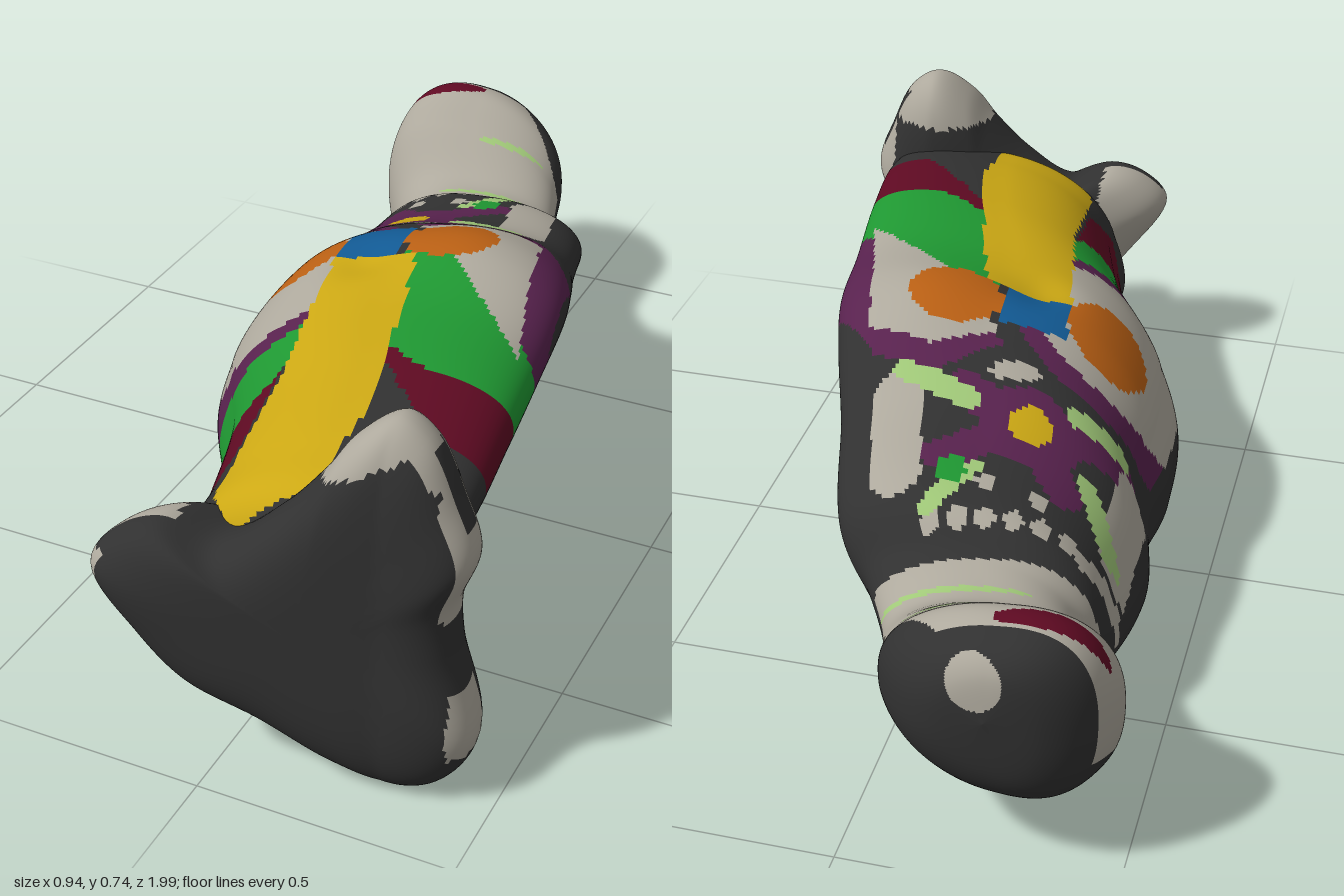
import * as THREE from 'three';

const mat = (name, hex) => Object.assign(new THREE.MeshStandardMaterial({ color: hex }), { name });
const MATS = [
  mat('charcoal', 0x313131), mat('stoneGrey', 0xaea99d), mat('yellow', 0xcca814),
  mat('orange', 0xba6014), mat('blue', 0x125a94), mat('green', 0x1f9832),
  mat('crimson', 0x5e0a22), mat('purple', 0x58224e), mat('paleGreen', 0xa0c878),
];
const [DARK, GREY, YELLOW, ORANGE, BLUE, GREEN, CRIMSON, PURPLE, PALE] = MATS.keys();

// Paint shapes on the x-z plane: turned ellipse, round-ended strip, polygon
const ell = (cx, cz, rx, rz, turn = 0) => (x, z) => {
  const c = Math.cos(turn), s = Math.sin(turn), dx = x - cx, dz = z - cz;
  return ((dx * c + dz * s) / rx) ** 2 + ((dz * c - dx * s) / rz) ** 2 < 1;
};
const strip = (x0, z0, x1, z1, r) => (x, z) => {
  const dx = x1 - x0, dz = z1 - z0;
  const t = THREE.MathUtils.clamp(((x - x0) * dx + (z - z0) * dz) / (dx * dx + dz * dz), 0, 1);
  return Math.hypot(x - x0 - t * dx, z - z0 - t * dz) < r;
};
const poly = (...p) => (x, z) => {
  let inside = false;
  for (let i = 0, j = p.length - 1; i < p.length; j = i++) {
    const [xi, zi] = p[i], [xj, zj] = p[j];
    if ((zi > z) !== (zj > z) && x < (xj - xi) * (z - zi) / (zj - zi) + xi) inside = !inside;
  }
  return inside;
};

// Belly and legs; the first matching shape wins
const BELLY = [
  [BLUE, poly([-.19, -.05], [-.06, -.07], [-.04, .05], [-.18, .07])],
  [ORANGE, ell(-.26, .04, .08, .1)],
  [ORANGE, ell(.04, -.02, .095, .085)],
  [YELLOW, poly([-.18, .05], [0, .06], [.14, .56], [.14, .78], [0, .84], [-.07, .77], [-.1, .45])],
  [GREY, ell(-.25, .1, .17, .2)],
  [PURPLE, ell(-.25, .1, .2, .25)],
  [GREY, poly([-.07, -.1], [.06, -.16], [.19, -.13], [.25, .1], [.31, .29], [.08, .06])],
  [GREEN, poly([-.03, .05], [.08, .06], [.38, .31], [.38, .44], [.18, .43], [.06, .36])],
  [PURPLE, poly([-.08, -.12], [.03, -.21], [.16, -.19], [.28, -.06], [.35, .31], [.05, .05])],
  [GREEN, poly([-.36, .3], [-.11, .27], [-.11, .45], [-.2, .53])],
  [CRIMSON, poly([.06, .38], [.42, .38], [.42, .62], [.28, .62])],
  [CRIMSON, poly([-.3, .48], [-.11, .43], [-.09, .65], [-.13, .74])],
];

// Chest: flower, leaves, side stripes and a row of collar beads
const CHEST = [
  [YELLOW, ell(-.175, -.27, .04, .045)],
  [GREEN, ell(-.06, -.43, .028, .035)],
  [PALE, strip(-.1, -.41, -.04, -.52, .018)],
  [PALE, strip(-.36, -.41, -.3, -.33, .022)],
  [PALE, strip(-.05, -.255, .09, -.215, .024)],
  [PALE, strip(-.33, -.18, -.25, -.2, .022)],
  [PURPLE, ell(-.175, -.28, .1, .09)],
  [GREY, strip(-.37, -.42, -.37, -.22, .028)],
  [GREY, strip(.04, -.46, .09, -.27, .048)],
  [GREY, ell(-.12, -.17, .05, .02, -.3)],
  [GREY, strip(-.39, -.47, -.33, -.5, .016)],
];
for (const [x, z] of [[-.26, -.38], [-.03, -.4], [-.03, -.235], [-.34, -.21]])
  CHEST.push([PURPLE, strip(-.175, -.28, x, z, .038)]);
for (let i = 0; i < 6; i++) CHEST.push([GREY, ell(-.3 + i * .05, -.49 - i * .01, .018, .022)]);
for (const x of [-.23, -.13]) CHEST.push([GREY, ell(x, -.44, .018, .02)]);

// Neck and face
const HEAD = [
  [CRIMSON, ell(-.36, -.885, .1, .025, -.15)],
  [PALE, ell(-.15, -.79, .08, .007, -.15)],
  [PALE, ell(-.12, -.66, .15, .008, -.15)],
  [GREY, (x, z) => z < -.62 - .22 * x && z > Math.max(-.92, -.77 + .88 * x)],
];
const PAINT = [...BELLY, ...CHEST, ...HEAD];

// Surface through rings of points along z, sorted into colour groups
function loft(name, rows, cols, point, paint) {
  const pos = [], buckets = MATS.map(() => []);
  for (let i = 0; i <= rows; i++)
    for (let j = 0; j < cols; j++) pos.push(...point(i / rows, j / cols));
  for (let i = 0; i < rows; i++)
    for (let j = 0; j < cols; j++) {
      const k = (j + 1) % cols, a = i * cols + j, b = i * cols + k, c = a + cols, d = b + cols;
      const mid = [0, 1, 2].map(n => (pos[a * 3 + n] + pos[d * 3 + n]) / 2);
      buckets[paint(...mid, (j + .5) / cols, (i + .5) / rows)].push(a, b, c, b, d, c);
    }
  const geo = new THREE.BufferGeometry();
  geo.setAttribute('position', new THREE.Float32BufferAttribute(pos, 3));
  geo.setIndex(buckets.flat());
  let start = 0;
  buckets.forEach((ids, m) => {
    if (ids.length) geo.addGroup(start, ids.length, m);
    start += ids.length;
  });
  geo.computeVertexNormals();
  const mesh = new THREE.Mesh(geo, MATS);
  mesh.name = name;
  return mesh;
}

// Body extents: z, x min, x max, y min, y max
const BODY = [
  [-1, -.27, -.27, .36, .36], [-.985, -.37, -.17, .23, .455], [-.94, -.435, -.1, .16, .5],
  [-.87, -.47, -.05, .125, .51], [-.79, -.47, -.03, .105, .455], [-.69, -.41, 0, .1, .375],
  [-.59, -.36, .06, .098, .385], [-.5, -.39, .14, .08, .45], [-.28, -.415, .205, .063, .51],
  [-.12, -.39, .26, .065, .585], [.02, -.405, .3, .077, .615], [.22, -.38, .33, .12, .6],
  [.45, -.245, .365, .15, .6], [.68, -.165, .39, .175, .58], [.81, -.13, .36, .2, .53],
  [.87, .1, .1, .36, .36],
];
const edge = (xi, yi) => new THREE.CatmullRomCurve3(
  BODY.map(r => new THREE.Vector3(r[xi], r[yi], r[0])), false, 'catmullrom', .5);
const lowCurve = edge(1, 3), highCurve = edge(2, 4);
const soften = v => Math.sign(v) * Math.abs(v) ** .86;
const bump = (x, z, cx, cz, r) => Math.exp(-((x - cx) ** 2 + (z - cz) ** 2) / (r * r));

function bodyPoint(u, v) {
  const lo = lowCurve.getPoint(u), hi = highCurve.getPoint(u), t = v * Math.PI * 2;
  const x = (lo.x + hi.x) / 2 + (hi.x - lo.x) / 2 * soften(Math.cos(t));
  // the trunk is rolled to one side, the head is nearly level
  const roll = .62 * THREE.MathUtils.smoothstep(lo.z, -.85, -.35) - .22 * Math.sin(t);
  const rise = Math.sin(t + roll);
  let y = (lo.y + hi.y) / 2 + (hi.y - lo.y) / 2 * soften(rise);
  // two soft mounds with a dip between
  if (rise > 0) y += rise * (.025 * bump(x, lo.z, -.25, .08, .14)
    + .012 * bump(x, lo.z, .08, -.02, .12) - .025 * bump(x, lo.z, -.11, .08, .07));
  return [x, y, lo.z];
}

function bodyPaint(x, y, z, v) {
  if (z < -.94 && ell(-.25, .43, .05, .05)(x, y)) return GREY;
  const deg = v > .75 ? v * 360 - 360 : v * 360;
  const floor = z < -.2 ? 0 : z < .28 ? .25 : .2;
  if (deg < (z < -.6 ? 5 : -6) || deg > (z < -.6 ? 200 : 186) || y < floor) return DARK;
  const hit = PAINT.find(([, test]) => test(x, z));
  return hit ? hit[0] : DARK;
}

// Feet: one splayed three-lobed block, outlined along z
const FEET = [
  [.1, .53], [0, .46], [-.1, .49], [-.17, .465], [-.22, .4], [-.15, .28], [-.06, .18], [.08, .11],
  [.22, .03], [.32, 0], [.4, .03], [.46, .13], [.42, .3], [.415, .4], [.445, .5], [.41, .6],
  [.36, .7], [.3, .735], [.23, .69], [.18, .62],
].map(([x, y]) => new THREE.Vector3(x, y, 0));
const feetCurve = new THREE.CatmullRomCurve3(FEET, true);

function feetPoint(u, v) {
  const a = (u - .5) * Math.PI, s = Math.cos(a) ** .45, p = feetCurve.getPoint(v);
  const x = .17 + (p.x - .17) * s, y = .33 + (p.y - .33) * s;
  const middle = .78 + .25 * Math.max(0, .3 - x) + .07 * (.65 - y);
  return [x, y, middle + (a < 0 ? .12 : .095) * Math.sin(a)];
}

function feetPaint(x, y, z, v, u) {
  const back = u < .66;
  if (x > .35 && y > .55 && y < .69 && u > .4 && u < .55) return DARK;
  if (x < .36 && y > .62 + .42 * (x - .18) && x > .15) return GREY;
  if (back && (y > .63 || (x > .39 && y > .38))) return GREY;
  if (u > .4 && u < .75 && x > .425 && y > .11 && y < .24) return GREY;
  return x < -.08 && y > .18 && (u < .5 || (back && y < .43)) ? GREY : DARK;
}

export function createModel() {
  const model = new THREE.Group();
  model.name = 'recliningFigure';
  model.add(loft('body', 260, 200, bodyPoint, bodyPaint));
  model.add(loft('feet', 48, 160, feetPoint, feetPaint));
  return model;
}
